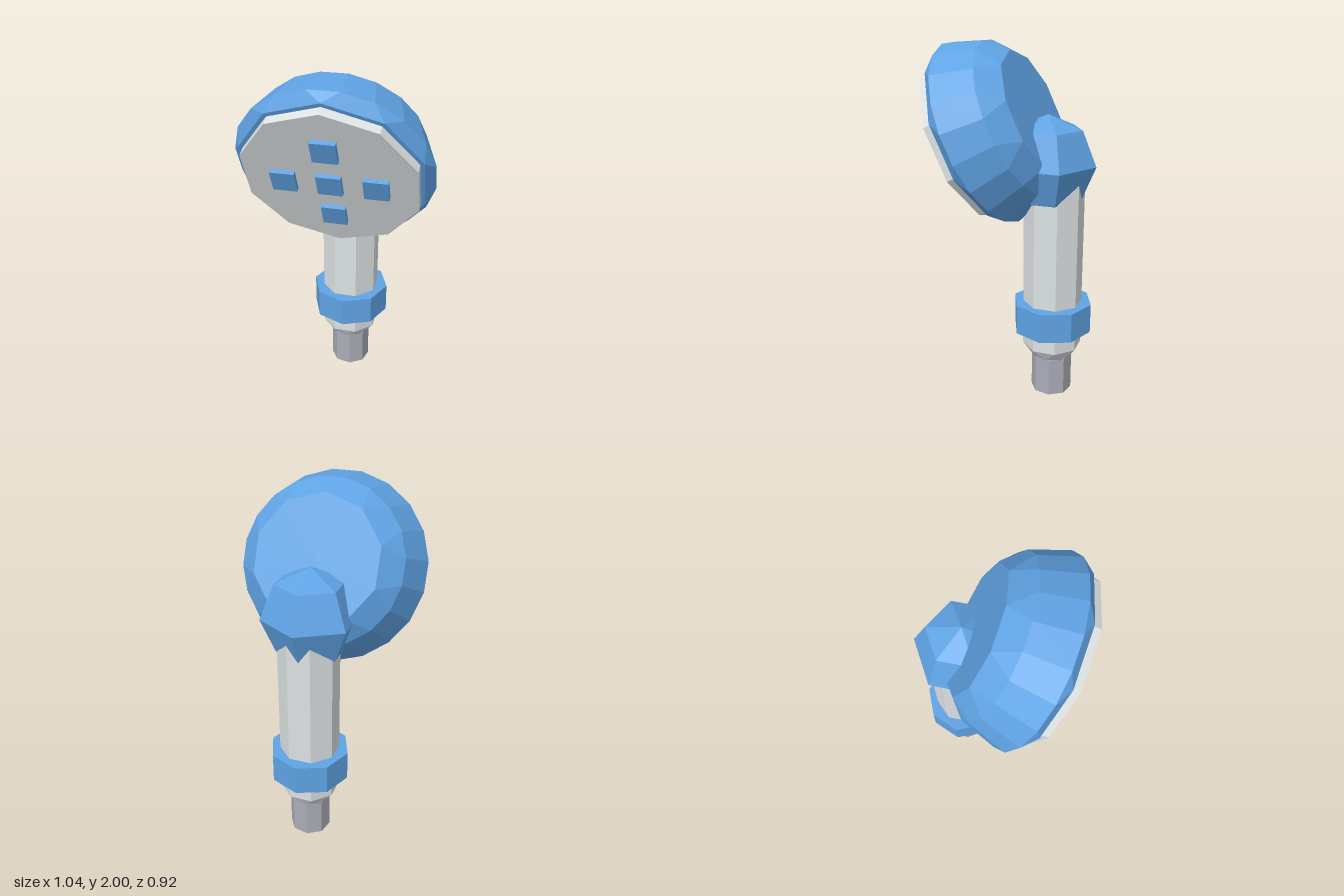
import * as THREE from 'three';

const blue = new THREE.MeshStandardMaterial({ color: 0x5fa3e4 });
blue.name = 'blue plastic';
const grey = new THREE.MeshStandardMaterial({ color: 0xdce1e2 });
grey.name = 'light grey';
const steel = new THREE.MeshStandardMaterial({ color: 0xabadb7 });
steel.name = 'steel grey';

// Faceted mesh: unshared corners give every face its own normal
function part(name, geometry, material) {
  const g = geometry.index ? geometry.toNonIndexed() : geometry;
  g.computeVertexNormals();
  const mesh = new THREE.Mesh(g, material);
  mesh.name = name;
  return mesh;
}

// Ring of 2n points around z. 'whole' pairs them on n corners, 'half' pairs
// them on n corners turned half a step, 'full' keeps 2n separate corners.
function ring(n, r, z, kind) {
  const step = (Math.PI * 2) / n;
  return Array.from({ length: 2 * n }, (_, j) => {
    let a = step * Math.floor((j + 1) / 2);
    if (kind === 'half') a = step * (Math.floor(j / 2) + 0.5);
    if (kind === 'full') a = step * (j / 2 + 0.25);
    a += Math.PI / 2;
    return new THREE.Vector3(Math.cos(a) * r, Math.sin(a) * r, z);
  });
}

// Skin over rings ordered from low z to high z, capped at both ends
function loft(rings) {
  const pts = [];
  const tri = (a, b, c) => {
    const area = b.clone().sub(a).cross(c.clone().sub(a)).length();
    if (area > 1e-7) pts.push(a, b, c);
  };
  const m = rings[0].length;
  const first = rings[0], last = rings[rings.length - 1];
  const c0 = new THREE.Vector3(0, 0, first[0].z);
  const c1 = new THREE.Vector3(0, 0, last[0].z);
  for (let i = 0; i < m; i++) {
    const k = (i + 1) % m;
    for (let s = 0; s < rings.length - 1; s++) {
      const lo = rings[s], hi = rings[s + 1];
      tri(lo[i], lo[k], hi[k]);
      tri(lo[i], hi[k], hi[i]);
    }
    tri(c0, first[k], first[i]);
    tri(c1, last[i], last[k]);
  }
  return new THREE.BufferGeometry().setFromPoints(pts);
}

// Upright prism standing between two heights
function prism(r, y0, y1, sides, turn) {
  return new THREE.CylinderGeometry(r, r, y1 - y0, sides, 1, false, turn)
    .translate(0, (y0 + y1) / 2, 0);
}

export function createModel() {
  const model = new THREE.Group();
  model.name = 'showerHead';

  // Handle with its threaded end, taper and collar
  const handle = new THREE.Group();
  handle.name = 'handleAssembly';
  handle.position.z = -0.23;
  const taper = loft([ring(8, 0.113, 0.22, 'whole'), ring(8, 0.168, 0.29, 'half')])
    .rotateX(-Math.PI / 2);
  handle.add(
    part('hoseConnector', prism(0.117, 0, 0.225, 8, Math.PI / 18), steel),
    part('handleTaper', taper, grey),
    part('handle', prism(0.168, 0.29, 1.3, 8, Math.PI / 8), grey),
    part('collar', prism(0.227, 0.39, 0.56, 8, 0), blue),
  );
  model.add(handle);

  // Faceted ball joint between handle and head
  const joint = part('ballJoint',
    new THREE.SphereGeometry(0.27, 6, 4).rotateY(Math.PI / 2), blue);
  joint.position.set(0, 1.36, -0.19);
  model.add(joint);

  // Tilted head, its local +z being the spray direction
  const head = new THREE.Group();
  head.name = 'head';
  head.position.set(0, 1.466, 0.262);
  head.rotation.x = THREE.MathUtils.degToRad(24.8);
  model.add(head);

  const shell = loft([
    ring(10, 0.348, -0.418, 'whole'),
    ring(10, 0.447, -0.318, 'full'),
    ring(10, 0.527, -0.105, 'full'),
    ring(10, 0.495, -0.05, 'whole'),
  ]);
  head.add(part('headShell', shell, blue));

  const plate = prism(0.473, -0.06, 0, 10, 0).rotateX(Math.PI / 2);
  head.add(part('sprayPlate', plate, grey));

  // Five square nozzles in a cross
  for (const [x, y] of [[0, 0], [0.24, 0], [-0.24, 0], [0, 0.24], [0, -0.24]]) {
    const nozzle = part('nozzle', new THREE.BoxGeometry(0.13, 0.13, 0.05), blue);
    nozzle.position.set(x, y, 0);
    head.add(nozzle);
  }
  return model;
}
